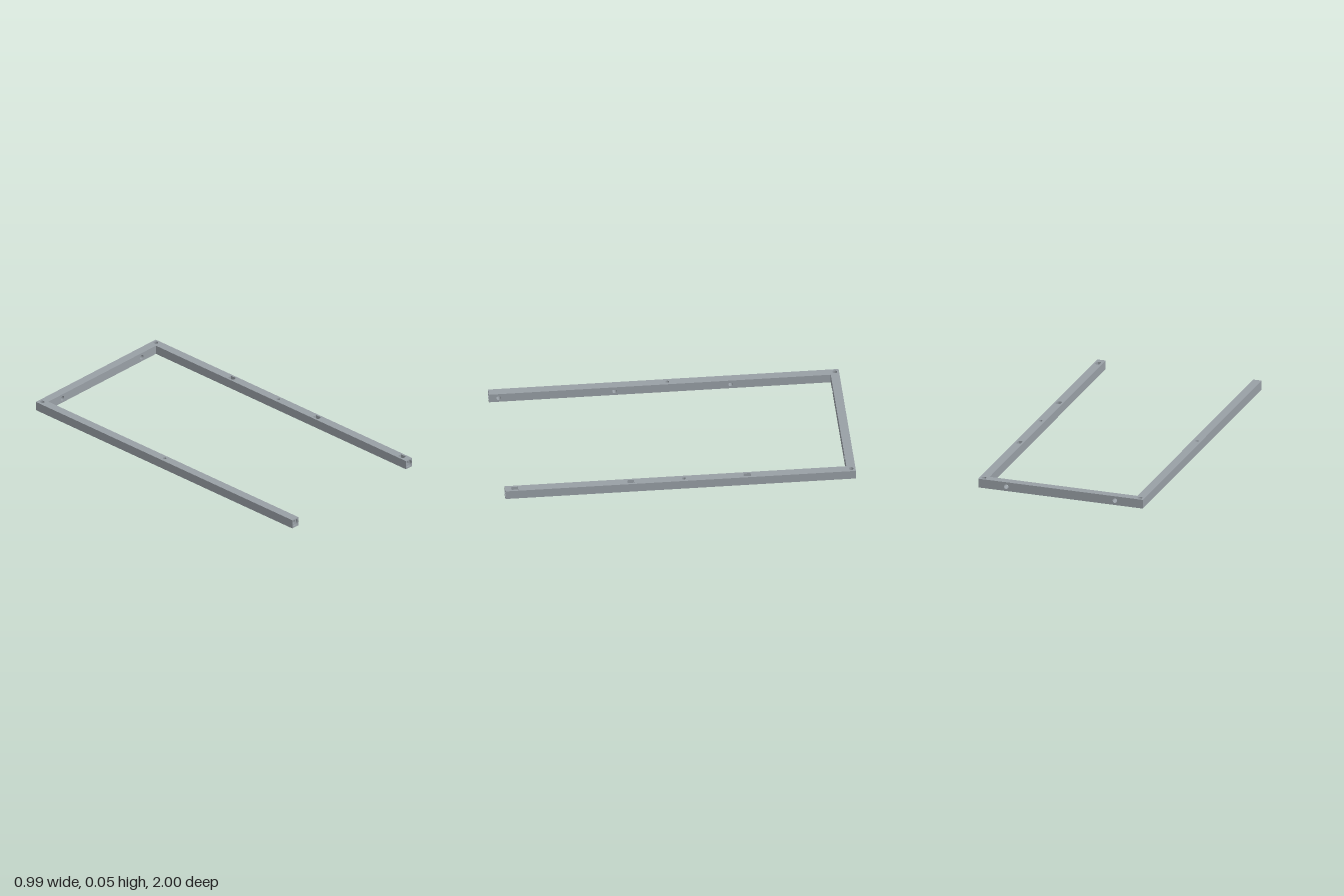
import * as THREE from 'three';
import { mergeGeometries } from 'three/addons/utils/BufferGeometryUtils.js';

const RAIL_W = 0.051;     // rail width
const T = 0.053;          // bar height
const HALF_W = 0.496;     // half of the overall width
const BACK = 0.05;        // depth of the back bar
const RAIL = 2 - BACK;    // rail length
const RAIL_Z = BACK / 2;  // rail centre along z

// Outlines, counter-clockwise
function circle(x, y, r) {
  return new THREE.Shape().absarc(x, y, r, 0, Math.PI * 2, false).getPoints(16).slice(0, -1);
}

function rect(w, h) {
  return [[-1, -1], [1, -1], [1, 1], [-1, 1]].map(([x, y]) => new THREE.Vector2(x * w / 2, y * h / 2));
}

// Slot with chamfered corners at its lower end
function slot(x, y) {
  const w = 0.0135, h = 0.02, c = 0.005;
  return [[w, h], [-w, h], [-w, -h + c], [-w + c, -h], [w - c, -h], [w, -h + c]]
    .map(([px, py]) => new THREE.Vector2(x + px, y + py));
}

// Walls of a hole, seen from inside
function walls(points, z, depth) {
  const pos = [];
  points.forEach((a, i) => {
    const b = points[(i + 1) % points.length];
    const low = z - depth;
    pos.push(a.x, a.y, low, a.x, a.y, z, b.x, b.y, z, a.x, a.y, low, b.x, b.y, z, b.x, b.y, low);
  });
  const g = new THREE.BufferGeometry();
  g.setAttribute('position', new THREE.Float32BufferAttribute(pos, 3));
  g.computeVertexNormals();
  return g;
}

// Flat panel facing +z; each hole may have walls, a floor and further holes in that floor
function panel(outline, holes = [], z = 0) {
  const shape = new THREE.Shape(outline);
  shape.holes = holes.map((h) => new THREE.Path(h.points));
  const flat = new THREE.ShapeGeometry(shape).toNonIndexed();
  flat.deleteAttribute('uv');
  flat.translate(0, 0, z);
  const parts = [flat];
  for (const h of holes) {
    if (h.depth) parts.push(walls(h.points, z, h.depth));
    if (h.blind) parts.push(...panel(h.points, h.inner, z - h.depth));
  }
  return parts;
}

// Rectangular bar with holes listed per face
function bar(name, sx, sy, sz, holes, material) {
  const q = Math.PI / 2;
  const faces = [
    ['front', sx, sy, sz, 0, 0], ['back', sx, sy, sz, 0, 2 * q],
    ['right', sz, sy, sx, 0, q], ['left', sz, sy, sx, 0, -q],
    ['top', sx, sz, sy, -q, 0], ['bottom', sx, sz, sy, q, 0],
  ];
  const parts = [];
  for (const [face, w, h, d, rx, ry] of faces) {
    for (const g of panel(rect(w, h), holes[face])) {
      parts.push(g.translate(0, 0, d / 2).rotateX(rx).rotateY(ry));
    }
  }
  const mesh = new THREE.Mesh(mergeGeometries(parts), material);
  mesh.name = name;
  return mesh;
}

export function createModel() {
  const model = new THREE.Group();
  model.name = 'frame';
  const material = new THREE.MeshStandardMaterial({ color: 0x989fa5 });
  const railX = HALF_W - RAIL_W / 2;

  // Stepped bore in the open end of each rail
  const bore = {
    points: circle(0, 0, 0.024), depth: 0.003, blind: true,
    inner: [{
      points: circle(0, 0, 0.0215), depth: 0.012, blind: true,
      inner: [{ points: circle(0, 0, 0.0105), depth: 0.015, blind: true }],
    }],
  };

  // Side rails: slots on top of one, round holes on the inner face of the other
  for (const side of [1, -1]) {
    const midZ = -0.02 - RAIL_Z;
    const holes = {
      front: [bore],
      top: [{ points: circle(0, -midZ, 0.0105), depth: T }],
      bottom: [{ points: circle(0, midZ, 0.0105) }],
      right: [],
    };
    for (const z of [-0.38, 0.283, 0.945]) {
      const along = RAIL_Z - z;
      if (side > 0) holes.top.push({ points: slot(0, along), depth: 0.03, blind: true });
      else holes.right.push({ points: circle(along, 0, 0.013), depth: 0.03, blind: true });
    }
    const rail = bar(side > 0 ? 'leftRail' : 'rightRail', RAIL_W, T, RAIL, holes, material);
    rail.position.set(side * railX, T / 2, RAIL_Z);
    model.add(rail);
  }

  // Back bar with vertical corner holes and two horizontal holes
  const pair = (x, r, depth) => [-x, x].map((px) => ({ points: circle(px, 0, r), depth }));
  const backBar = bar('backBar', HALF_W * 2, T, BACK, {
    front: pair(0.328, 0.014, BACK), back: pair(0.328, 0.014),
    top: pair(railX, 0.0135, T), bottom: pair(railX, 0.0135),
  }, material);
  backBar.position.set(0, T / 2, -1 + BACK / 2);
  model.add(backBar);

  return model;
}
